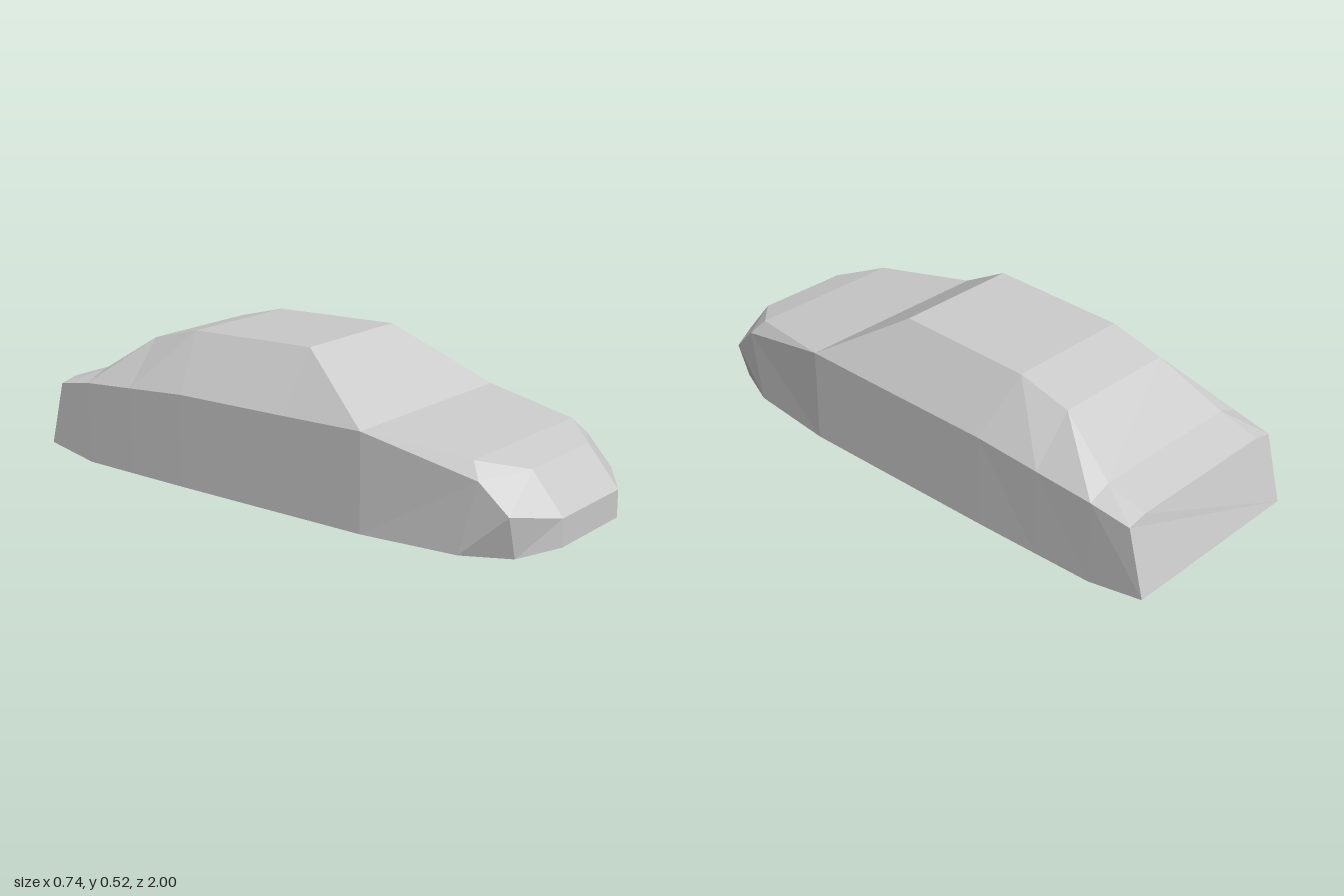
import * as THREE from 'three';

// Half cross-sections from tail to nose: [sill, belt line, roof/hood edge], each x, y, z
const stations = [
  [[0.35, 0.035, -1], [0.35, 0.265, -0.94], [0.28, 0.28, -0.94]],         // tail
  [[0.355, 0, -0.8], [0.36, 0.29, -0.8], [0.28, 0.322, -0.8]],            // rear window base
  [[0.36, 0, -0.59], [0.363, 0.305, -0.59], [0.225, 0.46, -0.59]],        // rear window top
  [[0.365, 0, -0.35], [0.365, 0.322, -0.35], [0.225, 0.51, -0.4]],        // roof rear
  [[0.368, 0, 0.09], [0.368, 0.327, 0.09], [0.225, 0.523, 0.09]],         // windscreen top
  [[0.37, 0, 0.4], [0.37, 0.332, 0.4], [0.37, 0.332, 0.4]],               // windscreen base
  [[0.337, 0, 0.74], [0.325, 0.24, 0.8], [0.29, 0.29, 0.76]],             // hood front
  [[0.272, 0.005, 0.9], [0.31, 0.145, 0.9], [0.17, 0.257, 0.89]],         // bumper corner
  [[0.17, 0.035, 1], [0.17, 0.127, 1], [0.17, 0.127, 1]],                 // nose
];

// Full closed ring of a station, counter-clockwise seen from the front
const mirror = ([x, y, z]) => [-x, y, z];
const rings = stations.map(([sill, belt, edge]) =>
  [sill, belt, edge, mirror(edge), mirror(belt), mirror(sill)]);

const material = new THREE.MeshStandardMaterial({ color: 0xcccccc, flatShading: true });

// Mesh from a list of triangles, leaving out the collapsed ones
function panel(name, triangles) {
  const solid = triangles.filter((t) =>
    new THREE.Triangle(...t.map((p) => new THREE.Vector3(...p))).getArea() > 1e-6);
  const geometry = new THREE.BufferGeometry();
  geometry.setAttribute('position', new THREE.Float32BufferAttribute(solid.flat(2), 3));
  geometry.computeVertexNormals();
  const mesh = new THREE.Mesh(geometry, material);
  mesh.name = name;
  return mesh;
}

// Strip between ring corners i and i + 1 along the whole car
function strip(i) {
  const j = (i + 1) % 6;
  const triangles = [];
  for (let s = 0; s < rings.length - 1; s++) {
    const a = rings[s][i], b = rings[s][j], c = rings[s + 1][j], d = rings[s + 1][i];
    // diagonals are mirrored on the right-hand side
    if (i < 3) triangles.push([a, b, c], [a, c, d]);
    else triangles.push([a, b, d], [b, c, d]);
  }
  return triangles;
}

// Flat cap over a ring
function cap(ring) {
  const triangles = [];
  for (let k = 1; k < ring.length - 1; k++) triangles.push([ring[0], ring[k], ring[k + 1]]);
  return triangles;
}

export function createModel() {
  const car = new THREE.Group();
  car.name = 'car';
  car.add(
    panel('leftBodySide', strip(0)),
    panel('leftWindowsAndShoulder', strip(1)),
    panel('hoodRoofAndTrunk', strip(2)),
    panel('rightWindowsAndShoulder', strip(3)),
    panel('rightBodySide', strip(4)),
    panel('underside', strip(5)),
    panel('tailPanel', cap([...rings[0]].reverse())),
    panel('nosePanel', cap(rings[rings.length - 1])),
  );
  return car;
}
